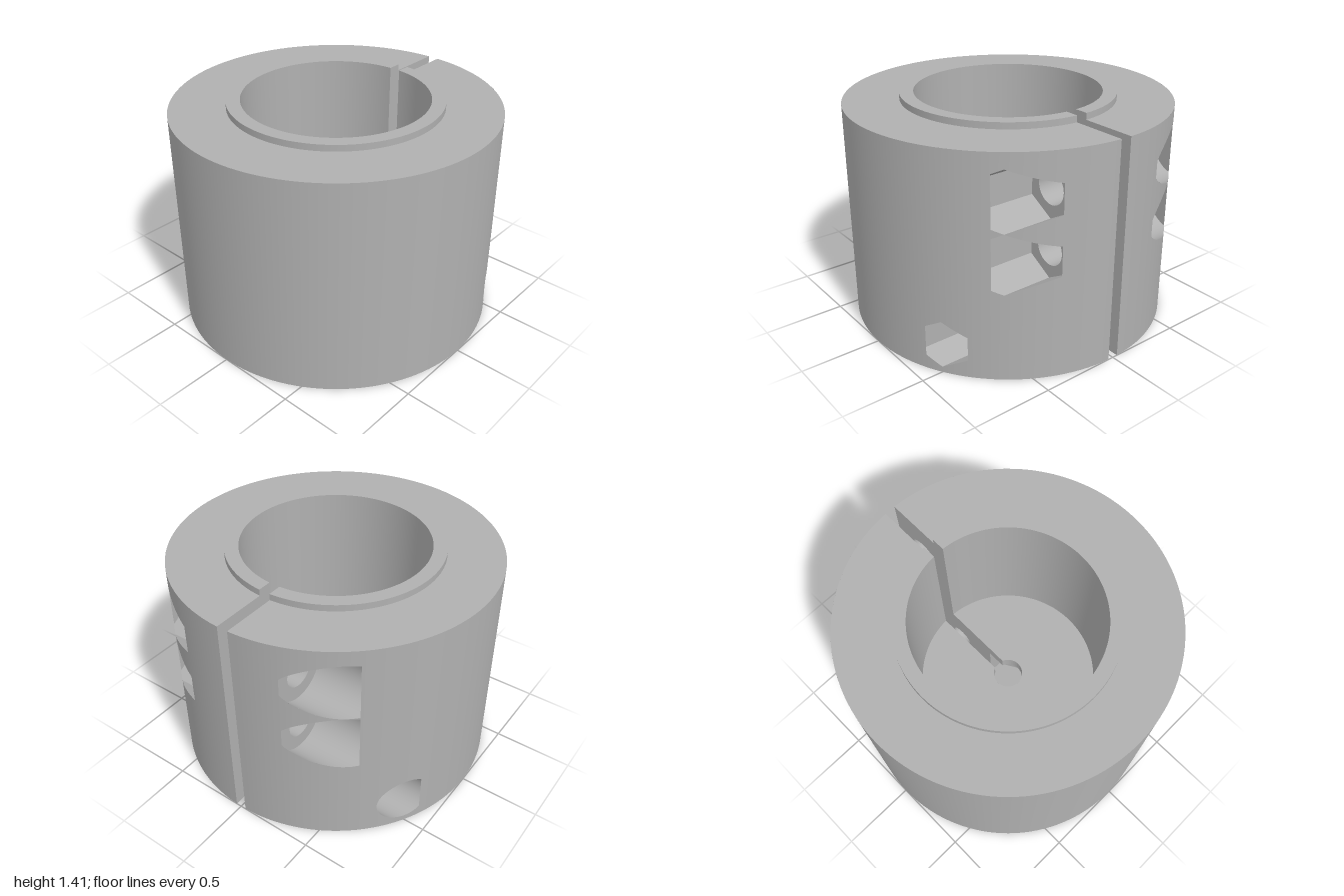
import * as THREE from 'three';
import { toCreasedNormals } from 'three/addons/utils/BufferGeometryUtils.js';

const SLIT = 0.035;          // half width of the clamping slit
const H = 1.37;              // body height
const LIP = 1.41;            // raised lip top
const BORE = 0.573, BORE_FLOOR = 0.46;
const HOLE = 0.095, NUT_TOP = 0.37;
const NUT_FLAT = 0.212;      // centre to flat of the bottom hexagon
const SEAT = 0.315;          // depth plane of the screw seats
const N = 128;

const hexHalf = (R) => (dx) => R - Math.abs(dx) / Math.sqrt(3);
const roundHalf = (R) => (dx) => Math.sqrt(Math.max(0, R * R - dx * dx));

// Clamping screws running along z: hexagon pocket in front, round one behind
const screws = [
  { x: 0.775, y: 1.095, R: 0.182, r: 0.1, end: 0.685 },
  { x: 0.775, y: 0.73, R: 0.182, r: 0.1, end: 0.685 },
  { x: 0.5, y: 0.185, R: 0.149, r: 0.08, end: 0.913 },
];

function makePocket(s, side) {
  const hex = side > 0;
  const a = hex ? s.R * Math.sqrt(3) / 2 : s.R;
  const half = hex ? hexHalf(s.R) : roundHalf(s.R);
  const cut = Math.sqrt(1 - s.end * s.end);
  const xEnd = Math.min(s.x + a, Math.sqrt(1 - SEAT * SEAT));
  const xs = [cut, xEnd];
  for (let i = 0; i <= 32; i++) {
    const x = s.x - a * Math.cos(Math.PI * i / 32);
    if (x < xEnd - 1e-4 && Math.abs(x - cut) > 1e-4) xs.push(x);
  }
  xs.sort((p, q) => p - q);
  return { ...s, side, cut, xEnd, xs, half: (x) => half(x - s.x) };
}

// Quads between two polylines of [x, y, z] points
function strip(A, B, out = []) {
  for (let i = 0; i + 1 < A.length; i++) {
    out.push(...A[i], ...A[i + 1], ...B[i + 1], ...A[i], ...B[i + 1], ...B[i]);
  }
  return out;
}

function fromTriangles(list) {
  const g = new THREE.BufferGeometry();
  g.setAttribute('position', new THREE.Float32BufferAttribute(list, 3));
  return g;
}

// Arc round the y axis that stops at the slit
function arc(r, y) {
  const a = Math.asin(SLIT / r);
  return Array.from({ length: N + 1 }, (_, i) => {
    const t = a + (2 * Math.PI - 2 * a) * i / N;
    return [r * Math.cos(t), y, -r * Math.sin(t)];
  });
}

// Open hexagon outline that stops at the slit
function hexagon(y) {
  const R = NUT_FLAT / Math.cos(Math.PI / 6);
  const pts = [[NUT_FLAT, y, -SLIT]];
  for (let i = 0; i < 6; i++) {
    const t = Math.PI / 6 + i * Math.PI / 3;
    pts.push([R * Math.cos(t), y, -R * Math.sin(t)]);
  }
  pts.push([NUT_FLAT, y, SLIT]);
  return pts;
}

// Horizontal downward face between two open outlines
function underside(outer, inner, y) {
  const pts = [...outer, ...inner.slice().reverse()].map((p) => new THREE.Vector2(p[0], p[2]));
  return new THREE.ShapeGeometry(new THREE.Shape(pts)).rotateX(Math.PI / 2).translate(0, y, 0);
}

function circlePath(x, y, r) {
  return new THREE.Path().absarc(x, y, r, 0, Math.PI * 2, true);
}

export function createModel() {
  const group = new THREE.Group();
  const material = new THREE.MeshStandardMaterial({ color: 0xb0b0b0, side: THREE.DoubleSide });
  material.name = 'plain grey';

  function add(name, geometry, side = 1, flip = false) {
    let g = geometry.index ? geometry.toNonIndexed() : geometry;
    g.deleteAttribute('normal');
    g.deleteAttribute('uv');
    if (side < 0) g.scale(1, 1, -1);
    if (flip !== side < 0) {
      const p = g.attributes.position.array;
      for (let i = 0; i < p.length; i += 9) {
        for (let k = 3; k < 6; k++) [p[i + k], p[i + k + 3]] = [p[i + k + 3], p[i + k]];
      }
    }
    g = toCreasedNormals(g, 0.45);
    const mesh = new THREE.Mesh(g, material);
    mesh.name = name;
    group.add(mesh);
  }

  const pockets = [1, -1].flatMap((side) => screws.map((s) => makePocket(s, side)));

  // Outer wall: vertical columns interrupted where the pockets break through
  const a0 = Math.asin(SLIT);
  const angles = Array.from({ length: N + 1 }, (_, i) => a0 + (2 * Math.PI - 2 * a0) * i / N);
  for (const p of pockets) {
    for (const x of p.xs) {
      if (x >= p.cut) angles.push(p.side > 0 ? 2 * Math.PI - Math.acos(x) : Math.acos(x));
    }
  }
  angles.sort((p, q) => p - q);
  const columns = angles.filter((t, i) => i === 0 || t - angles[i - 1] > 1e-6);
  const onWall = (t, y) => [Math.cos(t), y, -Math.sin(t)];
  const wall = [];
  for (let i = 0; i + 1 < columns.length; i++) {
    const t0 = columns[i], t1 = columns[i + 1], mid = (t0 + t1) / 2;
    const x0 = Math.cos(t0), x1 = Math.cos(t1), xm = Math.cos(mid);
    const side = mid > Math.PI ? 1 : -1;
    const gaps = pockets
      .filter((p) => p.side === side && xm > p.cut && xm < p.xEnd)
      .sort((p, q) => p.y - q.y);
    let low = [0, 0];
    for (const p of gaps) {
      const h0 = p.half(x0), h1 = p.half(x1);
      strip([onWall(t0, low[0]), onWall(t1, low[1])],
        [onWall(t0, p.y - h0), onWall(t1, p.y - h1)], wall);
      low = [p.y + h0, p.y + h1];
    }
    strip([onWall(t0, low[0]), onWall(t1, low[1])], [onWall(t0, H), onWall(t1, H)], wall);
  }
  add('outerWall', fromTriangles(wall));

  // Top, lip, bore, bore floor and centre hole
  const profile = [[1, H], [0.658, H], [0.658, LIP], [BORE, LIP], [BORE, BORE_FLOOR],
    [HOLE, BORE_FLOOR], [HOLE, NUT_TOP]];
  const names = ['topFace', 'lipOuterWall', 'lipTop', 'boreWall', 'boreFloor', 'centreHole'];
  names.forEach((name, i) => {
    add(name, fromTriangles(strip(arc(...profile[i]), arc(...profile[i + 1]))));
  });

  // Underside with hexagonal recess
  add('bottomFace', underside(arc(1, 0), hexagon(0), 0));
  add('recessCeiling', underside(hexagon(NUT_TOP), arc(HOLE, NUT_TOP), NUT_TOP));
  add('recessWalls', fromTriangles(strip(hexagon(NUT_TOP), hexagon(0))));

  // Slit faces, pierced by the screw holes
  const edge = (r) => Math.sqrt(r * r - SLIT * SLIT);
  for (const side of [1, -1]) {
    const shape = new THREE.Shape([
      [NUT_FLAT, 0], [edge(1), 0], [edge(1), H], [edge(0.658), H], [edge(0.658), LIP],
      [edge(BORE), LIP], [edge(BORE), BORE_FLOOR], [edge(HOLE), BORE_FLOOR],
      [edge(HOLE), NUT_TOP], [NUT_FLAT, NUT_TOP],
    ].map((p) => new THREE.Vector2(...p)));
    for (const s of screws) shape.holes.push(circlePath(s.x, s.y, s.r));
    add('slitFace', new THREE.ShapeGeometry(shape, 20).translate(0, 0, SLIT), side, true);
  }

  // Screw pockets, their seats and the bolt holes
  for (const p of pockets) {
    const up = p.xs.map((x) => [x, p.y + p.half(x)]);
    const down = p.xs.map((x) => [x, p.y - p.half(x)]);
    const loop = [...up, ...down.slice().reverse(), up[0]];
    const mouth = (x) => Math.max(SEAT, Math.min(p.end, Math.sqrt(1 - x * x)));
    add('pocketWalls', fromTriangles(strip(
      loop.map(([x, y]) => [x, y, SEAT]), loop.map(([x, y]) => [x, y, mouth(x)]))), p.side);

    const inner = (pts) => pts.filter(([x]) => x <= p.cut).map(([x, y]) => [x, y, p.end]);
    add('pocketOverhang', fromTriangles(strip(inner(up), inner(down))), p.side);

    const seat = new THREE.Shape(loop.slice(0, -1).map((q) => new THREE.Vector2(...q)));
    seat.holes.push(circlePath(p.x, p.y, p.r));
    add('screwSeat', new THREE.ShapeGeometry(seat, 20).translate(0, 0, SEAT), p.side);

    const bolt = new THREE.CylinderGeometry(p.r, p.r, SEAT - SLIT, 40, 1, true)
      .rotateX(Math.PI / 2).translate(p.x, p.y, (SEAT + SLIT) / 2);
    add('boltHole', bolt, p.side, true);
  }
  return group;
}
